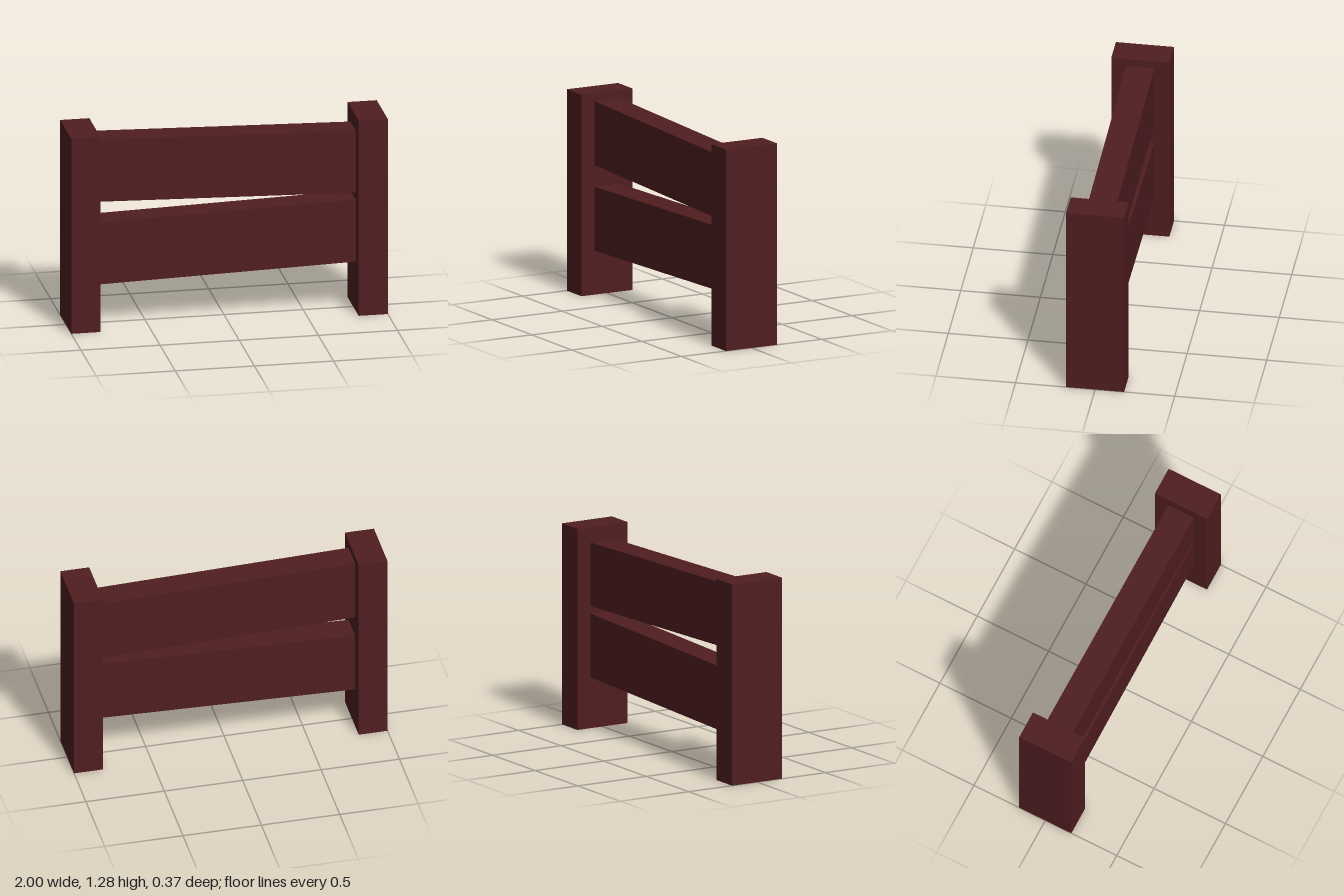
import * as THREE from 'three';

export function createModel() {
  const group = new THREE.Group();
  const wood = new THREE.MeshStandardMaterial({ color: 0x501e20, flatShading: true });

  const addBeam = (name, w, h, d, x, y, tilt = 0) => {
    const mesh = new THREE.Mesh(new THREE.BoxGeometry(w, h, d), wood);
    mesh.name = name;
    mesh.position.set(x, y, 0);
    mesh.rotation.z = tilt;
    group.add(mesh);
  };

  // Upright posts
  const postWidth = 0.184, postHeight = 1.28;
  for (const [name, side] of [['leftPost', 1], ['rightPost', -1]]) {
    addBeam(name, postWidth, postHeight, 0.365, side * (1 - postWidth / 2), postHeight / 2);
  }

  // Rails, tilted opposite ways, with ends set just inside the posts
  const tilt = 0.0277;
  addBeam('upperRail', 1.66, 0.406, 0.178, 0, 1.003, -tilt);
  addBeam('lowerRail', 1.66, 0.406, 0.178, 0, 0.505, tilt);

  return group;
}
